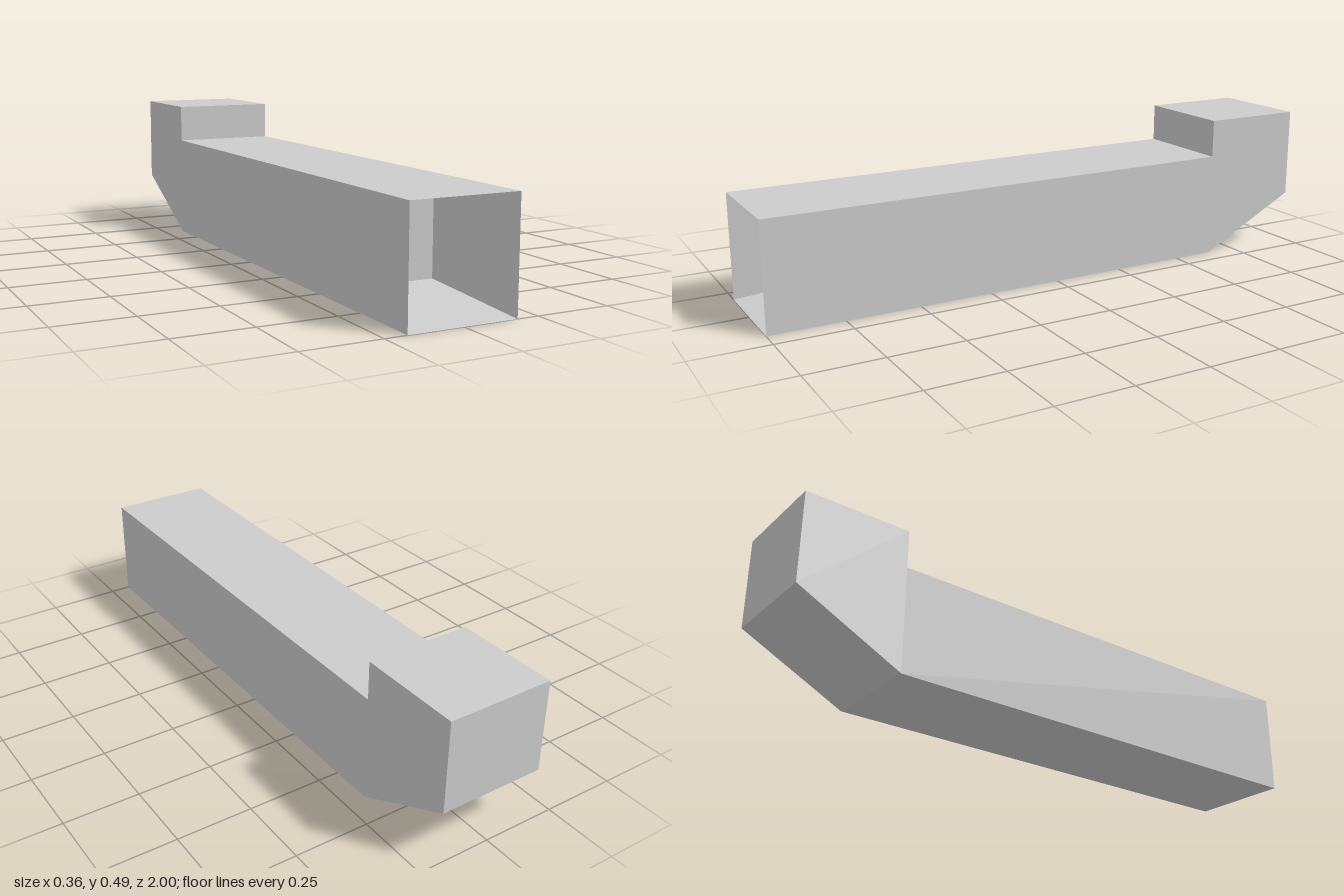
import * as THREE from 'three';

const HALF = 0.179, TOP = 0.358, STEP_Z = -0.643, INSET = 0.045;

// Rectangular cross-section, counter-clockwise seen from +z
function ring(h, y0, y1, z) {
  return [[-h, y0, z], [h, y0, z], [h, y1, z], [-h, y1, z]].map(p => new THREE.Vector3(...p));
}

// Flat-shaded skin through successive rings, leaving out collapsed triangles
function loft(rings) {
  const points = [];
  const add = (...corners) => {
    if (new THREE.Triangle(...corners).getArea() > 1e-7) points.push(...corners);
  };
  for (let k = 0; k < rings.length - 1; k++) {
    const a = rings[k], b = rings[k + 1];
    for (let i = 0; i < 4; i++) {
      const j = (i + 1) % 4;
      add(a[i], b[i], b[j]);
      add(a[i], b[j], a[j]);
    }
  }
  const geometry = new THREE.BufferGeometry().setFromPoints(points);
  geometry.computeVertexNormals();
  return geometry;
}

export function createModel() {
  const group = new THREE.Group();
  group.name = 'hollowBeam';
  const material = new THREE.MeshStandardMaterial({ color: 0xcccccc, flatShading: true });
  const part = (name, rings) => {
    const mesh = new THREE.Mesh(loft(rings), material);
    mesh.name = name;
    group.add(mesh);
  };

  const rim = ring(HALF, 0, TOP, 1);
  const joint = ring(HALF, 0, TOP, STEP_Z);
  const backEnd = ring(HALF, 0.18, 0.488, -1);

  // Tapered recess in the front end, closed by a smaller back wall
  part('frontRecess', [
    ring(0, TOP / 2, TOP / 2, 0.643),
    ring(HALF - INSET, INSET, TOP - INSET, 0.643),
    rim,
  ]);

  // Long straight body
  part('body', [rim, joint]);

  // Raised rear block with a sloping underside
  part('rearBlock', [
    joint,
    ring(HALF, 0, 0.488, STEP_Z),
    backEnd,
    ring(0, 0.334, 0.334, -1),
  ]);

  return group;
}
